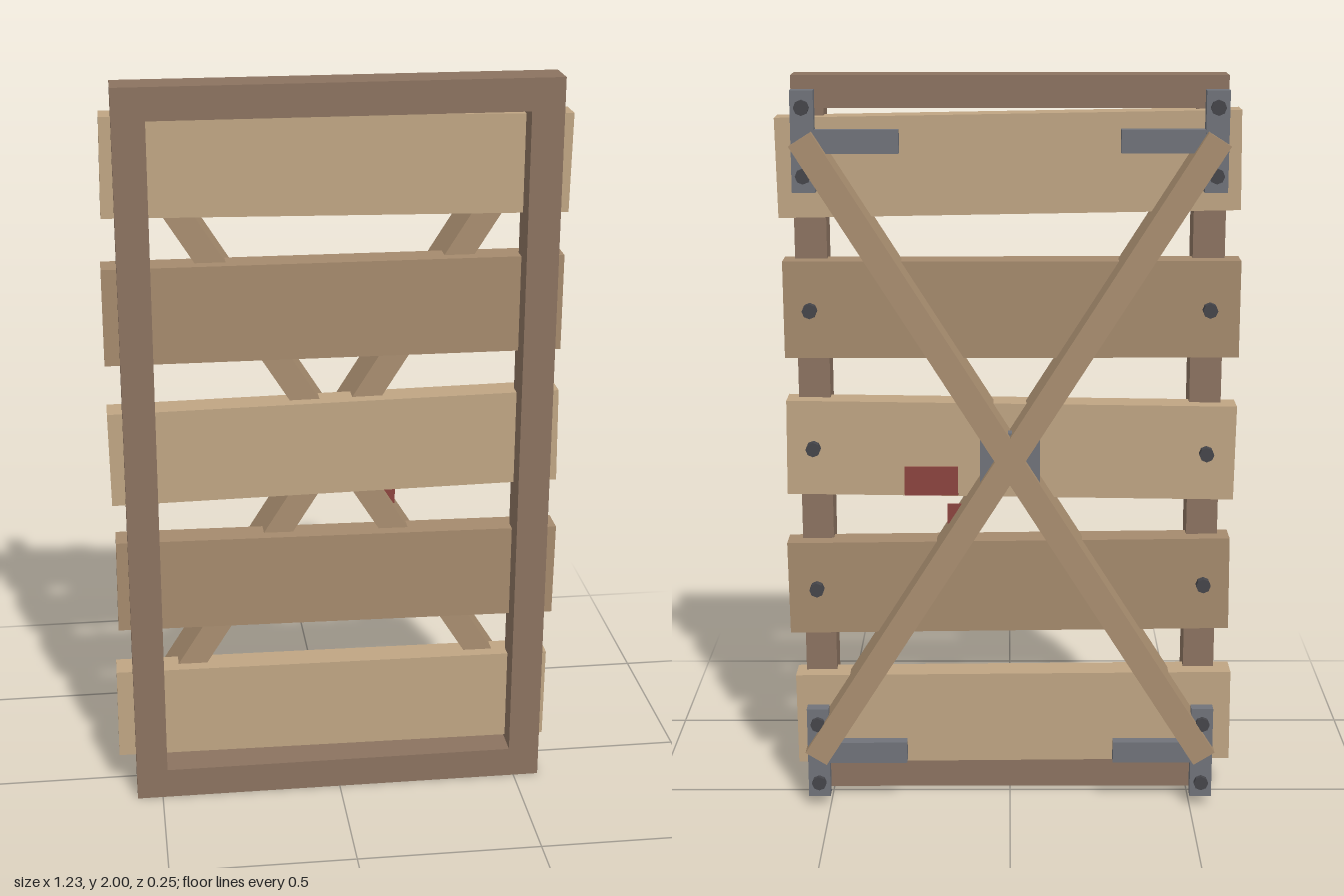
import * as THREE from 'three';

const mat = (color) => new THREE.MeshStandardMaterial({ color, flatShading: true });

export function createModel() {
  const model = new THREE.Group();
  model.name = 'woodenShutter';

  const frameWood = mat(0x8b7360);
  const lightWood = mat(0xbfa583);
  const darkWood = mat(0xa58a6d);
  const braceWood = mat(0xa98e70);
  const iron = mat(0x70737a);
  const boltIron = mat(0x45454a);
  const red = mat(0x8c443f);

  function box(name, material, size, pos, parent = model) {
    const mesh = new THREE.Mesh(new THREE.BoxGeometry(...size), material);
    mesh.name = name;
    mesh.position.set(...pos);
    parent.add(mesh);
    return mesh;
  }

  // Bolt head pointing towards the back
  const boltGeometry = new THREE.CylinderGeometry(0.02, 0.02, 0.03, 8).rotateX(Math.PI / 2);
  function bolt(name, x, y, z, parent) {
    const mesh = new THREE.Mesh(boltGeometry, boltIron);
    mesh.name = name;
    mesh.position.set(x, y, z);
    parent.add(mesh);
  }

  // Rectangular front frame
  const bar = 0.085;
  for (const s of [-1, 1]) {
    box('frameStile', frameWood, [bar, 2, 0.1], [s * (0.57 - bar / 2), 1, 0.075]);
    box('frameRail', frameWood, [1.14 - 2 * bar, bar, 0.1], [0, 1 + s * (1 - bar / 2), 0.075]);
  }

  // Slightly crooked planks: [x, y, tilt]
  const planks = [
    [-0.01, 0.23, -0.008],
    [0.003, 0.618, -0.011],
    [-0.003, 1.004, 0.014],
    [-0.005, 1.39, -0.001],
    [0.003, 1.775, -0.017],
  ];
  planks.forEach(([x, y, tilt], i) => {
    const group = new THREE.Group();
    group.name = 'plank' + (i + 1);
    group.position.set(x, y, 0.02);
    group.rotation.z = tilt;
    box('plankBoard', i % 2 ? darkWood : lightWood, [1.21, 0.26, 0.08], [0, 0, 0], group);
    for (const s of [-1, 1]) bolt('plankBolt', s * 0.53 - x, 0, -0.048, group);
    model.add(group);
  });

  // Crossed diagonal braces, let into the planks
  for (const s of [-1, 1]) {
    const brace = box('diagonalBrace', braceWood, [0.068, 2.01, 0.15], [0, 1, -0.05]);
    brace.rotation.z = s * 0.562;
  }

  // Iron corner brackets
  for (const sx of [-1, 1]) {
    for (const sy of [-1, 1]) {
      const bracket = new THREE.Group();
      bracket.name = 'cornerBracket';
      bracket.position.set(sx * 0.53, 1 + sy * 0.842, -0.086);
      box('bracketPlate', iron, [0.06, 0.26, 0.034], [0, 0, 0], bracket);
      box('bracketArm', iron, [0.27, 0.06, 0.032], [-sx * 0.11, 0, 0], bracket);
      for (const s of [-1, 1]) bolt('bracketBolt', 0, s * 0.087, -0.015, bracket);
      model.add(bracket);
    }
  }

  // Iron plate where the braces cross
  box('centrePlate', iron, [0.16, 0.135, 0.032], [0, 1.005, -0.084]);

  // Red tags on the back
  box('redTag', red, [0.145, 0.08, 0.006], [0.213, 0.92, -0.024]);
  box('smallRedTag', red, [0.07, 0.055, 0.006], [0.135, 0.828, -0.024]);

  return model;
}
